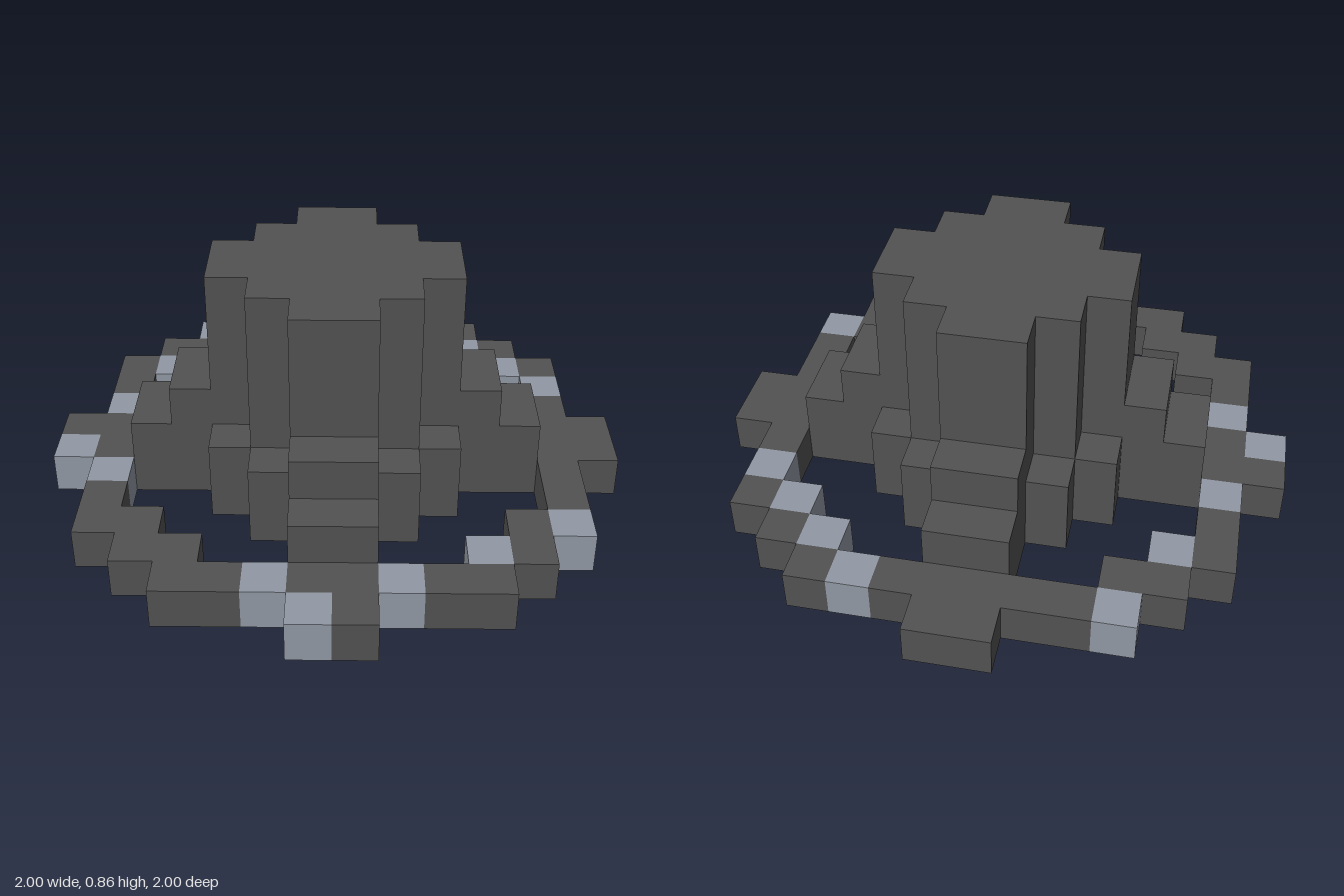
import * as THREE from 'three';
import { mergeGeometries } from 'three/addons/utils/BufferGeometryUtils.js';

const U = 1 / 7; // size of one block

// Box given by its block limits on x, y and z
function block(x0, x1, y0, y1, z0, z1) {
  const g = new THREE.BoxGeometry((x1 - x0) * U, (y1 - y0) * U, (z1 - z0) * U);
  return g.translate((x0 + x1) * U / 2, (y0 + y1) * U / 2, (z0 + z1) * U / 2);
}

export function createModel() {
  const dark = new THREE.MeshStandardMaterial({ color: 0x525252 });
  dark.name = 'darkStone';
  const pale = new THREE.MeshStandardMaterial({ color: 0x9299a4 });
  pale.name = 'paleStone';

  const model = new THREE.Group();
  model.name = 'steppedTower';
  const add = (name, parts, material) => {
    const mesh = new THREE.Mesh(mergeGeometries(parts), material);
    mesh.name = name;
    model.add(mesh);
  };

  // Stepped column and the low ledge around it: [half width, half depth]
  const column = [[3, 1], [2, 2], [1, 3]];
  add('column', column.map(([w, d]) => block(-w, w, 0, 6, -d, d)), dark);
  const ledge = [[3, 2], [2, 3]];
  add('ledge', ledge.map(([w, d]) => block(-w, w, 0, 2, -d, d)), dark);

  // Four arms stepping down to the ground: [start, end, height]
  const steps = [[3, 4, 3], [4, 5, 2], [5, 6, 1]];
  const arms = [];
  for (const s of [-1, 1]) {
    for (const [a, b, h] of steps) {
      const lo = Math.min(a * s, b * s), hi = Math.max(a * s, b * s);
      arms.push(block(lo, hi, 0, h, -1, 1), block(-1, 1, 0, h, lo, hi));
    }
  }
  add('arms', arms, dark);

  // Ring and arm tips, one quarter mirrored four ways
  const quarter = [[1, 5], [2, 5], [3, 5], [3, 4], [4, 4], [4, 3], [5, 3], [5, 2], [5, 1], [6, 0], [0, 6]];
  const paleCells = new Set([
    '-4,-6', '2,-6', '3,-5', '-5,-4', '4,-4', '5,-3', '-6,-2',
    '-7,0', '-6,1', '5,3', '3,4', '-2,5', '1,5', '-1,6',
  ]);
  const darkRing = [], paleRing = [];
  for (const [i, k] of quarter) {
    for (const x of [i, -1 - i]) {
      for (const z of [k, -1 - k]) {
        const list = paleCells.has(`${x},${z}`) ? paleRing : darkRing;
        list.push(block(x, x + 1, 0, 1, z, z + 1));
      }
    }
  }
  add('ringDarkBlocks', darkRing, dark);
  add('ringPaleBlocks', paleRing, pale);

  // Pale undersides where the ring passes below the front and right arms
  add('armUndersides', [
    block(-1, 1, -0.01, 0.02, 5, 6),
    block(-6, -5, -0.01, 0.02, -1, 1),
  ], pale);

  return model;
}
